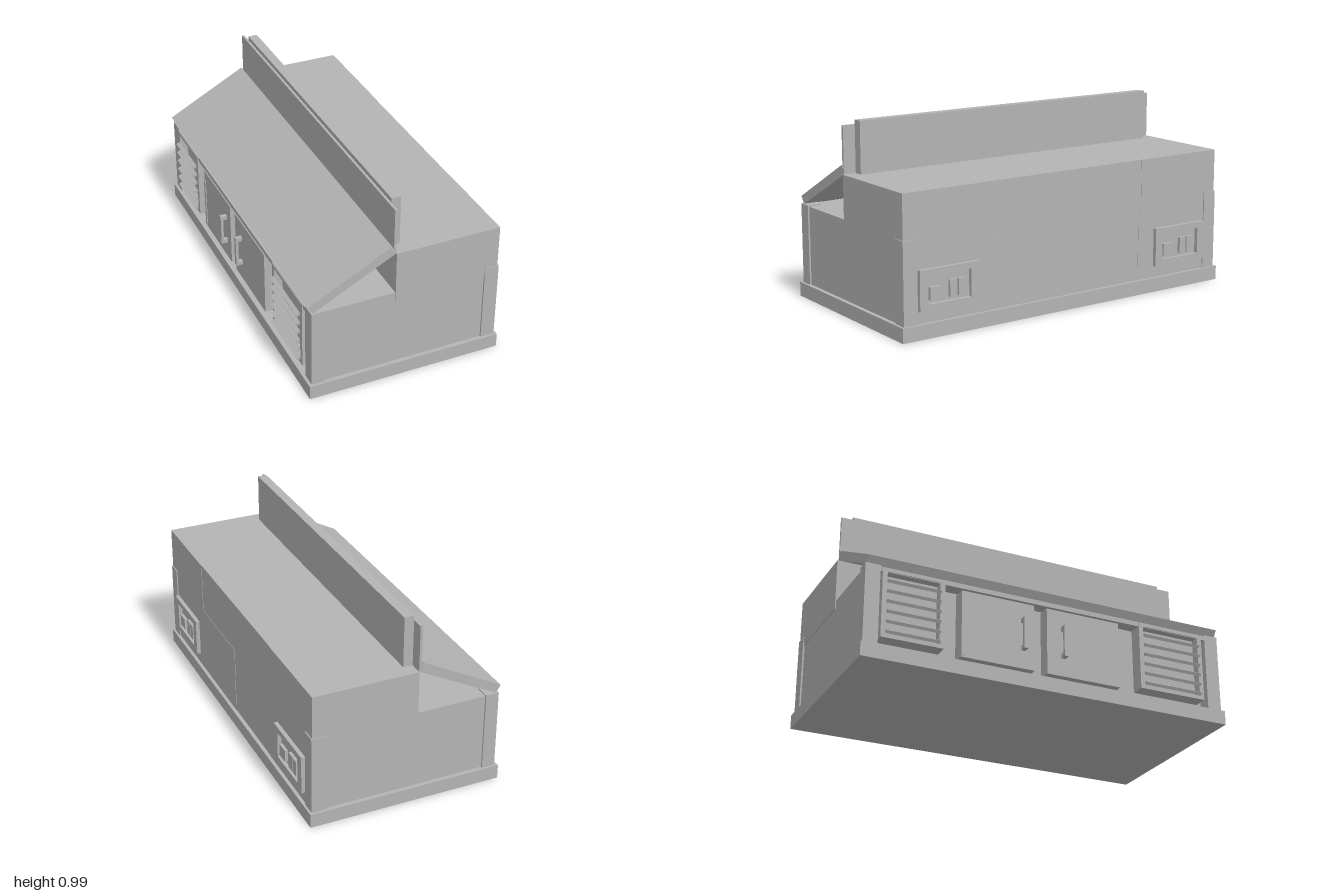
import * as THREE from 'three';

const grey = new THREE.MeshStandardMaterial({ color: 0xb4b4b4 });
grey.name = 'plain grey';

export function createModel() {
  const model = new THREE.Group();
  model.name = 'serviceCounter';

  // Box given by its limits on each axis
  function box(name, x0, x1, y0, y1, z0, z1, parent = model) {
    const mesh = new THREE.Mesh(new THREE.BoxGeometry(x1 - x0, y1 - y0, z1 - z0), grey);
    mesh.position.set((x0 + x1) / 2, (y0 + y1) / 2, (z0 + z1) / 2);
    mesh.name = name;
    parent.add(mesh);
    return mesh;
  }

  // Rectangular frame facing along x, from z0..z1 and y0..y1, with a border
  function frame(name, x0, x1, y0, y1, z0, z1, bz, by, parent) {
    box(name + 'Bottom', x0, x1, y0, y0 + by, z0, z1, parent);
    box(name + 'Top', x0, x1, y1 - by, y1, z0, z1, parent);
    box(name + 'SideA', x0, x1, y0 + by, y1 - by, z0, z0 + bz, parent);
    box(name + 'SideB', x0, x1, y0 + by, y1 - by, z1 - bz, z1, parent);
  }

  // Plinth, cabinet core and worktop
  box('plinth', -0.505, 0.522, 0, 0.075, -1, 1);
  box('cabinetCore', -0.42, 0.5, 0.075, 0.48, -0.978, 0.978);
  box('lowerTop', -0.49, -0.05, 0.465, 0.49, -0.978, 0.978);
  box('upperBlock', -0.05, 0.5, 0.443, 0.718, -0.983, 0.983);

  // Panels with slight steps on the serving side
  box('upperPanel', 0.5, 0.504, 0.443, 0.718, 0.49, 0.983);
  box('upperPanel', 0.5, 0.502, 0.443, 0.718, -0.47, 0.49);
  box('upperPanel', 0.5, 0.504, 0.443, 0.718, -0.983, -0.47);
  box('lowerPanel', 0.5, 0.504, 0.075, 0.443, 0.02, 0.91);
  box('lowerPanel', 0.5, 0.502, 0.075, 0.443, -0.455, 0.02);
  box('lowerPanel', 0.5, 0.504, 0.075, 0.443, -0.91, -0.455);

  // Corner posts
  for (const s of [-1, 1]) {
    const z0 = Math.min(s * 0.91, s * 0.987), z1 = Math.max(s * 0.91, s * 0.987);
    box('servingPost', 0.435, 0.51, 0.075, 0.492, z0, z1);
    box('cabinetPost', -0.49, -0.42, 0.075, 0.497, z0, z1);
  }

  // Upright boards
  box('backboard', -0.05, 0, 0.718, 0.985, -0.91, 0.91);
  box('backboardFacing', -0.063, -0.05, 0.718, 0.962, -0.977, 0.977);

  // Sloping board
  const slope = new THREE.Shape([
    [-0.48, 0.493], [-0.05, 0.718], [-0.063, 0.745], [-0.073, 0.762], [-0.504, 0.533],
  ].map(([x, y]) => new THREE.Vector2(x, y)));
  const board = new THREE.Mesh(
    new THREE.ExtrudeGeometry(slope, { depth: 1.954, bevelEnabled: false }), grey);
  board.position.z = -0.977;
  board.name = 'slopingBoard';
  model.add(board);

  // Doors with bar handles
  for (const [z0, z1, handleZ] of [[-0.485, -0.09, -0.152], [-0.02, 0.39, 0.07]]) {
    const door = new THREE.Group();
    door.name = 'door';
    model.add(door);
    box('doorPanel', -0.49, -0.42, 0.1, 0.455, z0, z1, door);
    box('handleBar', -0.526, -0.512, 0.197, 0.367, handleZ - 0.011, handleZ + 0.011, door);
    for (const y of [0.197, 0.345])
      box('handleMount', -0.512, -0.49, y, y + 0.022, handleZ - 0.011, handleZ + 0.011, door);
  }
  box('hingeStrip', -0.494, -0.49, 0.11, 0.4, -0.485, -0.465);

  // Louvred vents
  for (const [z0, z1] of [[-0.9, -0.575], [0.51, 0.885]]) {
    const vent = new THREE.Group();
    vent.name = 'vent';
    model.add(vent);
    frame('ventFrame', -0.495, -0.42, 0.12, 0.487, z0, z1, 0.025, 0.02, vent);
    box('ventBack', -0.45, -0.42, 0.13, 0.47, z0 + 0.02, z1 - 0.02, vent);
    for (let i = 0; i < 6; i++) {
      const y = 0.148 + i * 0.0533;
      const slat = box('slat', -0.514, -0.492, y - 0.008, y + 0.008, z0 + 0.025, z1 - 0.025, vent);
      slat.rotation.z = Math.PI / 6;
    }
  }

  // Socket boxes on the serving side
  for (const z of [0.735, -0.73]) {
    const socket = new THREE.Group();
    socket.name = 'socketBox';
    socket.position.z = z;
    model.add(socket);
    frame('socketFrame', 0.5, 0.525, 0.137, 0.341, -0.17, 0.17, 0.047, 0.032, socket);
    box('socketSquare', 0.5, 0.52, 0.185, 0.25, 0.042, 0.11, socket);
    box('socketSwitch', 0.5, 0.52, 0.185, 0.27, -0.045, -0.003, socket);
    box('socketSwitch', 0.5, 0.52, 0.185, 0.27, -0.094, -0.052, socket);
  }

  return model;
}
